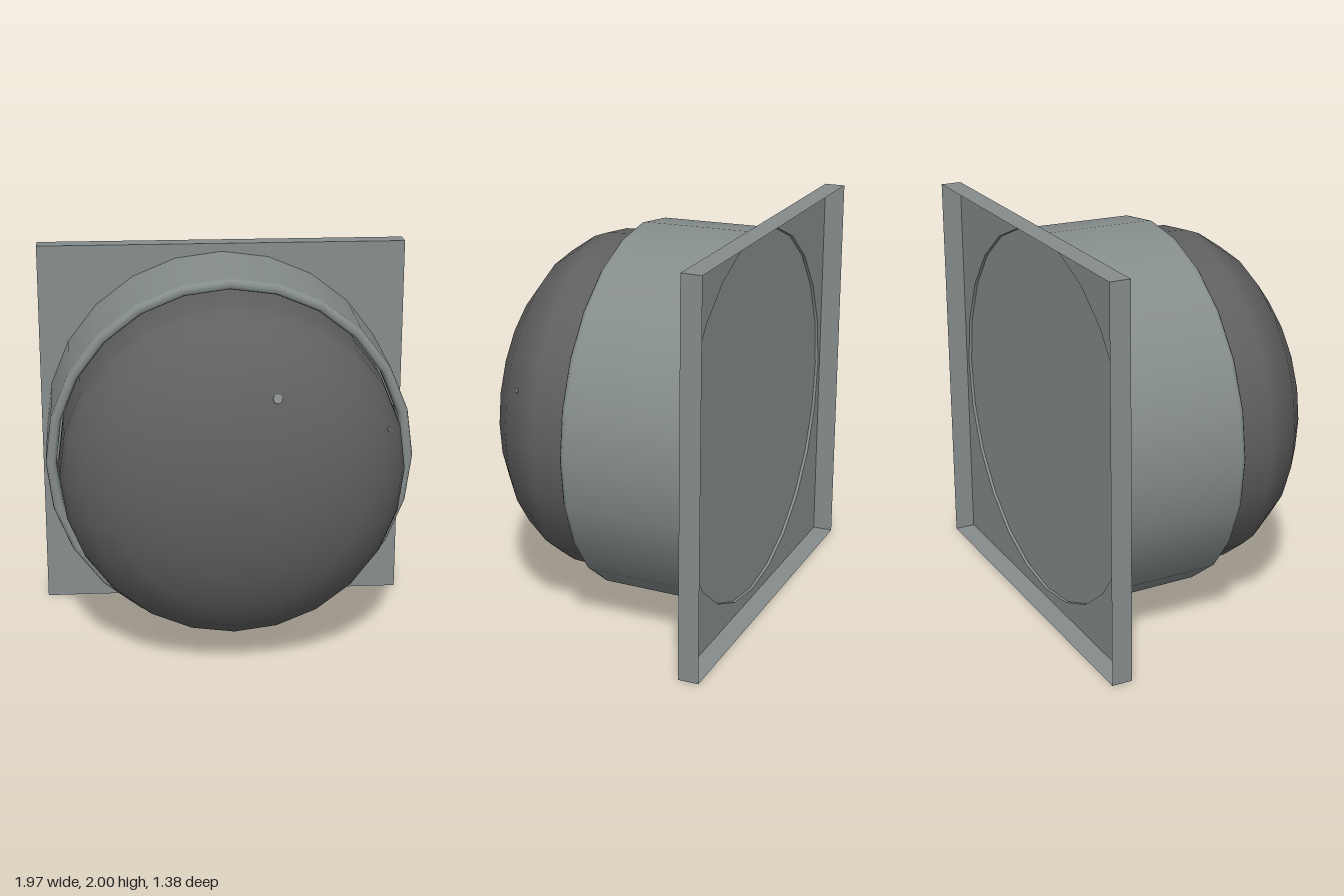
import * as THREE from 'three';

const SIDES = 24;

// Turn a profile of [radius, z] points around the z axis
function turned(profile) {
  const g = new THREE.LatheGeometry(profile.map(([r, z]) => new THREE.Vector2(r, z)), SIDES);
  return g.rotateX(Math.PI / 2);
}

export function createModel() {
  const grey = new THREE.MeshStandardMaterial({ color: 0x868d8d, side: THREE.DoubleSide });
  grey.name = 'housing grey';
  const dark = new THREE.MeshStandardMaterial({ color: 0x606060 });
  dark.name = 'lens dark grey';

  const model = new THREE.Group();
  const body = new THREE.Group();
  body.name = 'lamp';
  body.position.y = 1;
  model.add(body);

  const add = (name, geometry, material, parent = body) => {
    const mesh = new THREE.Mesh(geometry, material);
    mesh.name = name;
    parent.add(mesh);
    return mesh;
  };

  // Square mounting tray, open at the back
  const W = 0.983, FRONT = -0.585, BACK = -0.69;
  const tray = new THREE.Group();
  tray.name = 'mountingPlate';
  body.add(tray);
  const square = new THREE.Shape([[-W, -1], [W, -1], [W, 1], [-W, 1]].map(p => new THREE.Vector2(...p)));
  const hole = [];
  for (let i = 0; i < SIDES; i++) {
    const a = -i / SIDES * Math.PI * 2;
    hole.push(new THREE.Vector2(0.957 * Math.cos(a), 0.957 * Math.sin(a)));
  }
  square.holes.push(new THREE.Path(hole));
  add('platePanel', new THREE.ShapeGeometry(square), grey, tray).position.z = FRONT;
  const depth = FRONT - BACK, mid = (FRONT + BACK) / 2;
  for (const s of [-1, 1]) {
    const side = add('plateSide', new THREE.PlaneGeometry(depth, 2), grey, tray);
    side.position.set(s * W, 0, mid);
    side.rotation.y = s * Math.PI / 2;
    const edge = add('plateEdge', new THREE.PlaneGeometry(2 * W, depth), grey, tray);
    edge.position.set(0, s, mid);
    edge.rotation.x = -s * Math.PI / 2;
  }

  // Disc closing the back of the housing, slightly recessed
  add('backDisc', new THREE.CircleGeometry(0.956, SIDES), grey).position.z = FRONT + 0.015;

  // Slightly tapered housing, and its rounded front rim
  add('housing', turned([[0.957, FRONT], [0.949, 0.025]]), grey);
  add('rim', turned([[0.949, 0.025], [0.945, 0.04], [0.932, 0.05], [0.912, 0.05],
    [0.9, 0.04], [0.894, 0.02], [0.894, -0.08]]), grey);

  // Domed lens
  add('lens', turned([[0.885, -0.1], [0.884, 0.05], [0.874, 0.235], [0.847, 0.31], [0.757, 0.44],
    [0.614, 0.55], [0.434, 0.624], [0.228, 0.677], [0, 0.69]]), dark);

  // Two tiny studs on the lens: position, outward direction, radius
  const studs = [
    [[0.185, 0.487, 0.584], [0.15, 0.38, 0.91], 0.024],
    [[0.762, 0.25, 0.36], [0.78, 0.26, 0.57], 0.014],
  ];
  for (const [pos, dir, r] of studs) {
    const stud = add('stud', new THREE.CylinderGeometry(r, r, 0.018, 8), grey);
    stud.position.set(...pos);
    stud.quaternion.setFromUnitVectors(new THREE.Vector3(0, 1, 0), new THREE.Vector3(...dir).normalize());
  }
  return model;
}
